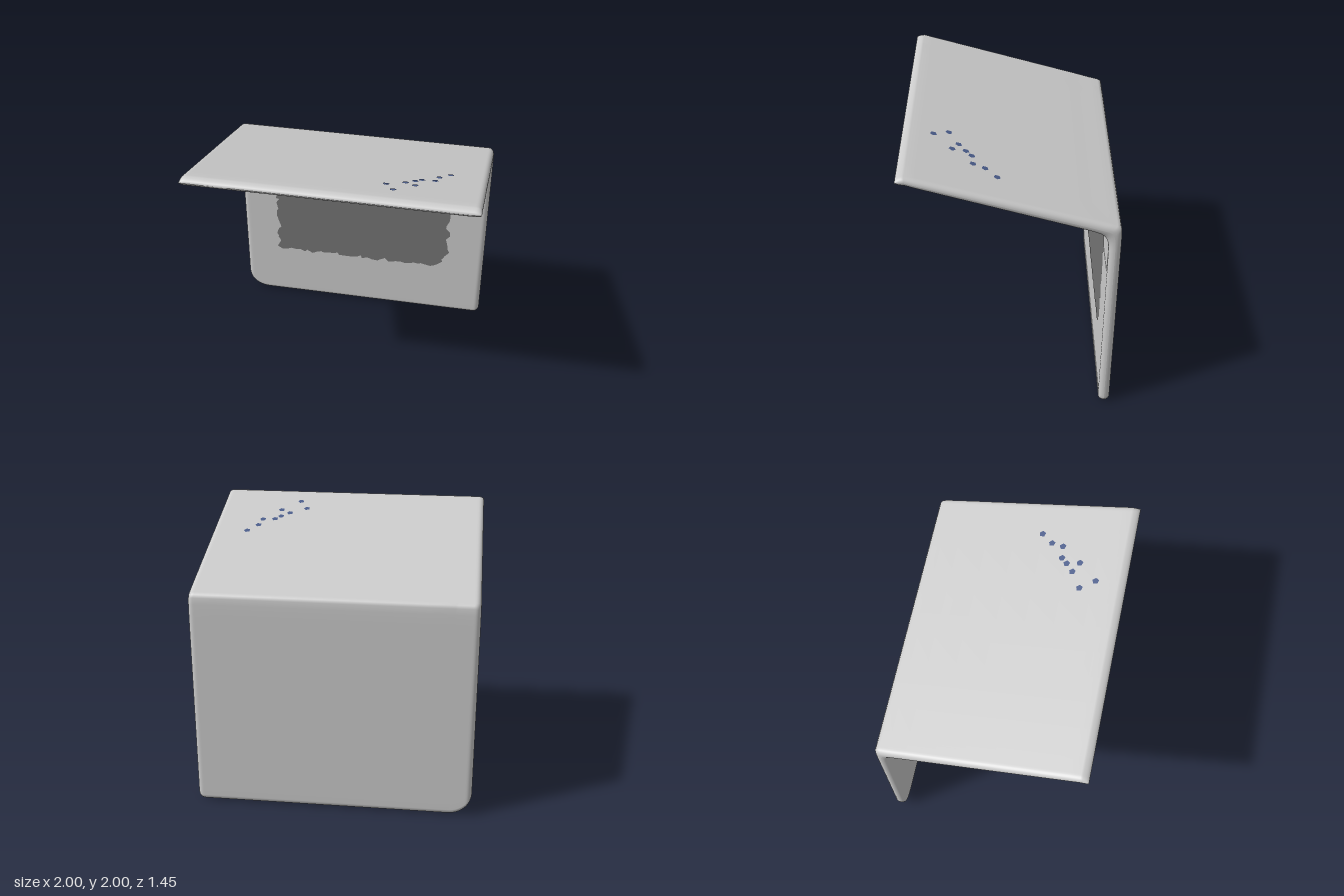
import * as THREE from 'three';

const PI2 = Math.PI / 2;
const TOP = z => 1.805 + 0.284 * z; // canopy upper face
const UNDER = z => 1.727 + 0.3026 * z; // canopy lower face

// Side profile as pairs: outer [z, y], inner [z, y], from the foot up and out to the canopy tip
function profilePairs() {
  const pairs = [];
  for (let i = 0; i <= 6; i++) { // rounded foot
    const a = i / 6 * PI2, k = Math.sin(a), y = 0.04 * (1 - Math.cos(a));
    pairs.push([[-0.682 - 0.041 * k, y], [-0.682 + 0.041 * k, y]]);
  }
  for (const y of [0.1, 0.2, 0.4, 0.6, 0.8, 1, 1.2, 1.35]) pairs.push([[-0.723, y], [-0.641, y]]);
  pairs.push( // bend with a tight outer corner and a soft inner fillet
    [[-0.723, 1.46], [-0.64, 1.42]],
    [[-0.722, 1.53], [-0.636, 1.46]],
    [[-0.72, 1.575], [-0.624, 1.5]],
    [[-0.712, 1.597], [-0.605, 1.527]],
    [[-0.69, 1.609], [-0.58, 1.545]],
    [[-0.63, 1.624], [-0.545, 1.56]]);
  for (const z of [-0.5, -0.3, -0.1, 0.1, 0.3, 0.5, 0.6]) pairs.push([[z, TOP(z)], [z, UNDER(z)]]);
  for (let i = 0; i <= 6; i++) { // rounded tip
    const a = i / 6 * PI2, k = Math.cos(a), z = 0.67 + 0.06 * Math.sin(a);
    pairs.push([[z, 1.966 + 0.029 * k], [z, 1.966 - 0.033 * k]]);
  }
  return pairs;
}

// One bent sheet: the profile lofted across x, thinned at the sides, with rounded lower corners
function bentSheet() {
  const pairs = profilePairs(), xs = [], rRight = 0.17, rLeft = 0.05, edge = 0.04;
  for (let i = 16; i >= 0; i--) xs.push(-1 + rRight - rRight * Math.sin(i / 16 * PI2));
  for (let i = 1; i < 10; i++) xs.push(-0.83 + 1.78 * i / 10);
  for (let i = 0; i <= 8; i++) xs.push(1 - rLeft + rLeft * Math.sin(i / 8 * PI2));

  const pos = [], index = [];
  for (const x of xs) {
    const e = Math.max(0, (Math.abs(x) - 1 + edge) / edge);
    const k = Math.sqrt(Math.max(0, 1 - e * e));
    const r = x < 0 ? rRight : rLeft, d = Math.max(0, Math.abs(x) - 1 + r);
    const lift = r - Math.sqrt(Math.max(0, r * r - d * d));
    const place = (a, b) => {
      const z = (a[0] + b[0]) / 2 + (a[0] - b[0]) / 2 * k;
      const y = (a[1] + b[1]) / 2 + (a[1] - b[1]) / 2 * k;
      pos.push(x, y + lift * Math.max(0, 1 - y / 1.4), z);
    };
    for (const [o, n] of pairs) place(o, n);
    for (const [o, n] of [...pairs].reverse()) place(n, o);
  }
  const m = pairs.length * 2;
  for (let i = 0; i < xs.length - 1; i++) {
    for (let j = 0; j < m; j++) {
      const a = i * m + j, b = i * m + (j + 1) % m;
      index.push(a, b, a + m, b, b + m, a + m);
    }
  }
  const g = new THREE.BufferGeometry();
  g.setAttribute('position', new THREE.Float32BufferAttribute(pos, 3));
  g.setIndex(index);
  g.computeVertexNormals();
  return g;
}

// Rounded rectangle with a slightly ragged outline
function raggedShape(x0, x1, y0, y1, r, rag) {
  const s = new THREE.Shape();
  s.moveTo(x0, y0);
  s.lineTo(x1 - r, y0);
  s.quadraticCurveTo(x1, y0, x1, y0 + r);
  s.lineTo(x1, y1 - r);
  s.quadraticCurveTo(x1, y1, x1 - r, y1);
  s.lineTo(x0, y1);
  s.closePath();
  let seed = 7;
  const rand = () => (seed = (seed * 16807) % 2147483647) / 2147483647 - 0.5;
  const pts = s.getSpacedPoints(130).slice(0, -1);
  return new THREE.Shape(pts.map(p => new THREE.Vector2(p.x + rand() * rag, p.y + rand() * rag)));
}

// Lays a flat shape drawn in (x, z) on a sloping canopy face
function layOn(geometry, height) {
  const p = geometry.attributes.position;
  for (let i = 0; i < p.count; i++) {
    const z = p.getY(i);
    p.setXYZ(i, p.getX(i), height(z), z);
  }
  geometry.computeVertexNormals();
  return geometry;
}

export function createModel() {
  const model = new THREE.Group();
  const add = (name, geometry, color, side = THREE.FrontSide) => {
    const mesh = new THREE.Mesh(geometry, new THREE.MeshStandardMaterial({ color, side }));
    mesh.name = name;
    model.add(mesh);
    return mesh;
  };

  add('bentSheet', bentSheet(), 0xcccccc);

  // Dark area on the front of the upright panel
  const patch = new THREE.ShapeGeometry(raggedShape(-0.71, 0.7, 0.46, 1.34, 0.16, 0.04));
  add('panelDarkArea', patch, 0x747474).position.z = -0.637;

  // Dark area and blue streak under the canopy
  const under = new THREE.ShapeGeometry(raggedShape(-0.84, 0.84, -0.15, 0.5, 0.15, 0.04));
  add('canopyDarkArea', layOn(under, z => UNDER(z) - 0.003), 0x8c8c90, THREE.DoubleSide);
  const streak = new THREE.Shape([[0.1, 0.44], [0.5, 0.46], [0.8, 0.28], [0.82, -0.04], [0.68, 0.08], [0.45, 0.28]]
    .map(p => new THREE.Vector2(...p)));
  add('canopyBlueStreak', layOn(new THREE.ShapeGeometry(streak), z => UNDER(z) - 0.005), 0x56618a, THREE.DoubleSide);

  // Small blue flecks on top of the canopy
  const flecks = [[0.34, 0.42], [0.4, 0.52], [0.46, 0.35], [0.52, 0.3], [0.56, 0.26], [0.53, 0.39],
    [0.65, 0.25], [0.67, 0.17], [0.74, 0.09]];
  for (const [x, z] of flecks) {
    const g = new THREE.CircleGeometry(0.024, 5).translate(x, z, 0);
    add('canopyFleck', layOn(g, v => TOP(v) + 0.003), 0x4a5c8a, THREE.DoubleSide);
  }
  return model;
}
